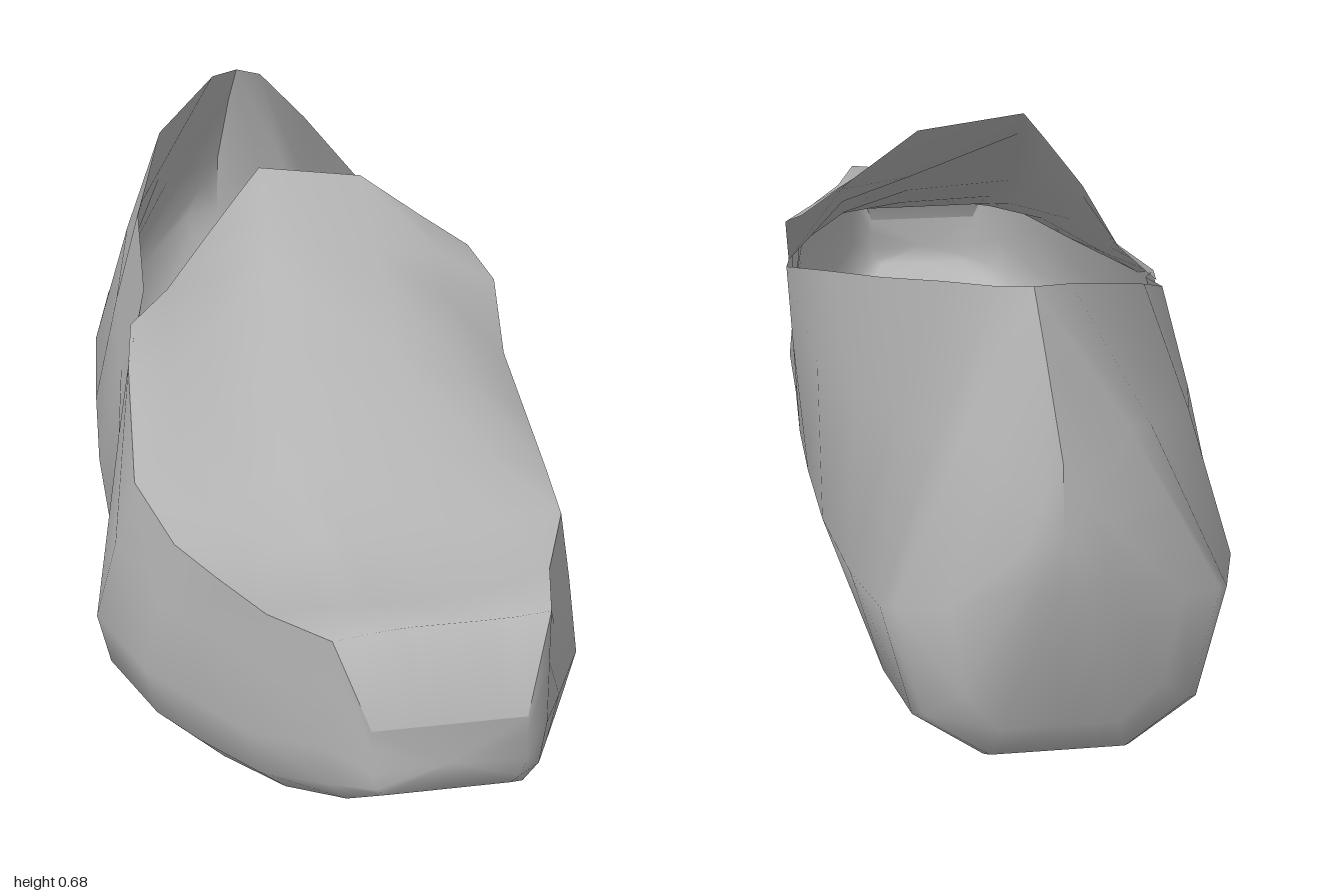
import * as THREE from 'three';

// Body stations, toe to heel: z, sole y, right rim y, left rim y, then x of
// right rim, right bulge, right sole, left sole, left bulge, left rim
const STATIONS = [
  [1.0, 0.17, 0.26, 0.26, -0.1, -0.1, -0.08, 0.08, 0.1, 0.1],
  [0.955, 0.145, 0.365, 0.38, -0.14, -0.15, -0.12, 0.11, 0.14, 0.14],
  [0.82, 0.095, 0.345, 0.375, -0.195, -0.22, -0.17, 0.15, 0.2, 0.18],
  [0.65, 0.055, 0.325, 0.375, -0.23, -0.265, -0.22, 0.21, 0.28, 0.25],
  [0.5, 0.025, 0.31, 0.38, -0.26, -0.305, -0.25, 0.24, 0.3, 0.275],
  [0.3, 0.01, 0.325, 0.39, -0.285, -0.345, -0.28, 0.25, 0.305, 0.305],
  [0.02, 0.02, 0.405, 0.435, -0.25, -0.285, -0.2, 0.2, 0.32, 0.335],
  [-0.2, 0.015, 0.455, 0.485, -0.19, -0.27, -0.16, 0.17, 0.325, 0.29],
  [-0.45, 0.01, 0.51, 0.54, -0.16, -0.24, -0.12, 0.16, 0.325, 0.235],
  [-0.7, 0.005, 0.585, 0.6, -0.08, -0.205, -0.08, 0.17, 0.31, 0.185],
  [-0.88, 0.02, 0.64, 0.64, 0.05, -0.155, -0.03, 0.16, 0.29, 0.14],
  [-0.905, 0.03, 0.645, 0.645, 0.1, -0.14, -0.02, 0.155, 0.275, 0.1],
  [-0.96, 0.09, 0.575, 0.575, 0.095, -0.08, 0.0, 0.15, 0.215, 0.095],
  [-1.0, 0.28, 0.45, 0.45, 0.08, 0.02, 0.05, 0.11, 0.13, 0.08],
];
const mix = THREE.MathUtils.lerp;

// Smooth surface through equal-length rows of [x, y, z] points
function loft(rows, flip, capEnds) {
  const n = rows[0].length;
  const points = rows.flat();
  const index = [];
  const tri = (a, b, c) => index.push(...(flip ? [a, c, b] : [a, b, c]));
  for (let j = 0; j < rows.length - 1; j++) {
    for (let i = 0; i < n - 1; i++) {
      const a = j * n + i;
      tri(a, a + 1, a + n);
      tri(a + 1, a + n + 1, a + n);
    }
  }
  if (capEnds) {
    [0, rows.length - 1].forEach((j) => {
      const mid = points.length;
      points.push([0, 1, 2].map((k) => rows[j].reduce((s, p) => s + p[k], 0) / n));
      for (let i = 0; i < n; i++) {
        const a = j * n + i, b = j * n + ((i + 1) % n);
        if (j === 0) tri(a, mid, b);
        else tri(a, b, mid);
      }
    });
  }
  const g = new THREE.BufferGeometry();
  g.setAttribute('position', new THREE.Float32BufferAttribute(points.flat(), 3));
  g.setIndex(index);
  g.computeVertexNormals();
  return g;
}

// U-shaped cross-section from right rim, under the sole, to left rim
function section([z, y0, yr, yl, rr, rb, rs, ls, lb, lr]) {
  const side = (y1, rim, bulge, sole) => [
    [rim, y1, z],
    [mix(bulge, rim, 0.5), mix(y0, y1, 0.7), z],
    [bulge, mix(y0, y1, 0.34), z],
    [mix(sole, bulge, 0.7), mix(y0, y1, 0.1), z],
    [sole, y0, z],
  ];
  return [...side(yr, rr, rb, rs), [(rs + ls) / 2, y0, z], ...side(yl, lr, lb, ls).reverse()];
}

// Station values at any z
function stationAt(z) {
  const k = STATIONS.findIndex((s, i) => i > 0 && s[0] <= z);
  const a = STATIONS[k - 1], b = STATIONS[k];
  const t = (z - a[0]) / (b[0] - a[0]);
  return a.map((v, i) => mix(v, b[i], t));
}

export function createModel() {
  const leather = new THREE.MeshStandardMaterial({ color: 0xb4b4b4, side: THREE.DoubleSide });
  leather.name = 'grey leather';
  const model = new THREE.Group();
  model.name = 'slipperShoe';
  const add = (name, geometry) => {
    const mesh = new THREE.Mesh(geometry, leather);
    mesh.name = name;
    model.add(mesh);
  };

  // Sole, side walls, toe and heel as one open shell
  add('shoeBody', loft(STATIONS.map(section), true, true));

  // Upper: sinks behind the toe edge, then arches up to the tongue
  const across = [0, 0.11, 0.2, 0.31, 0.37, 0.67, 0.85, 1];
  const arch = [0, 0.2, 0.54, 0.84, 1, 0.91, 0.61, 0.36];
  const crowns = [[1, 0.26], [0.955, 0.375], [0.82, 0.345], [0.65, 0.37], [0.5, 0.42],
    [0.3, 0.495], [0.12, 0.575], [0.02, 0.635], [-0.07, 0.685]];
  const upper = crowns.map(([z, crown], j) => {
    const s = stationAt(z);
    const last = j === crowns.length - 1;
    return across.map((t, i) => {
      const p = i === 7 && z > 0.02 ? 0 : arch[i];
      const dent = i === 5 && z === 0.02 ? 0.045 : 0;
      const sweep = last && i < 2 ? 0.045 : 0;
      return [mix(s[4], s[9], t), mix(mix(s[2], s[3], t), crown, p) - dent, z - sweep];
    });
  });
  add('upperAndTongue', loft(upper, false, false));

  return model;
}
